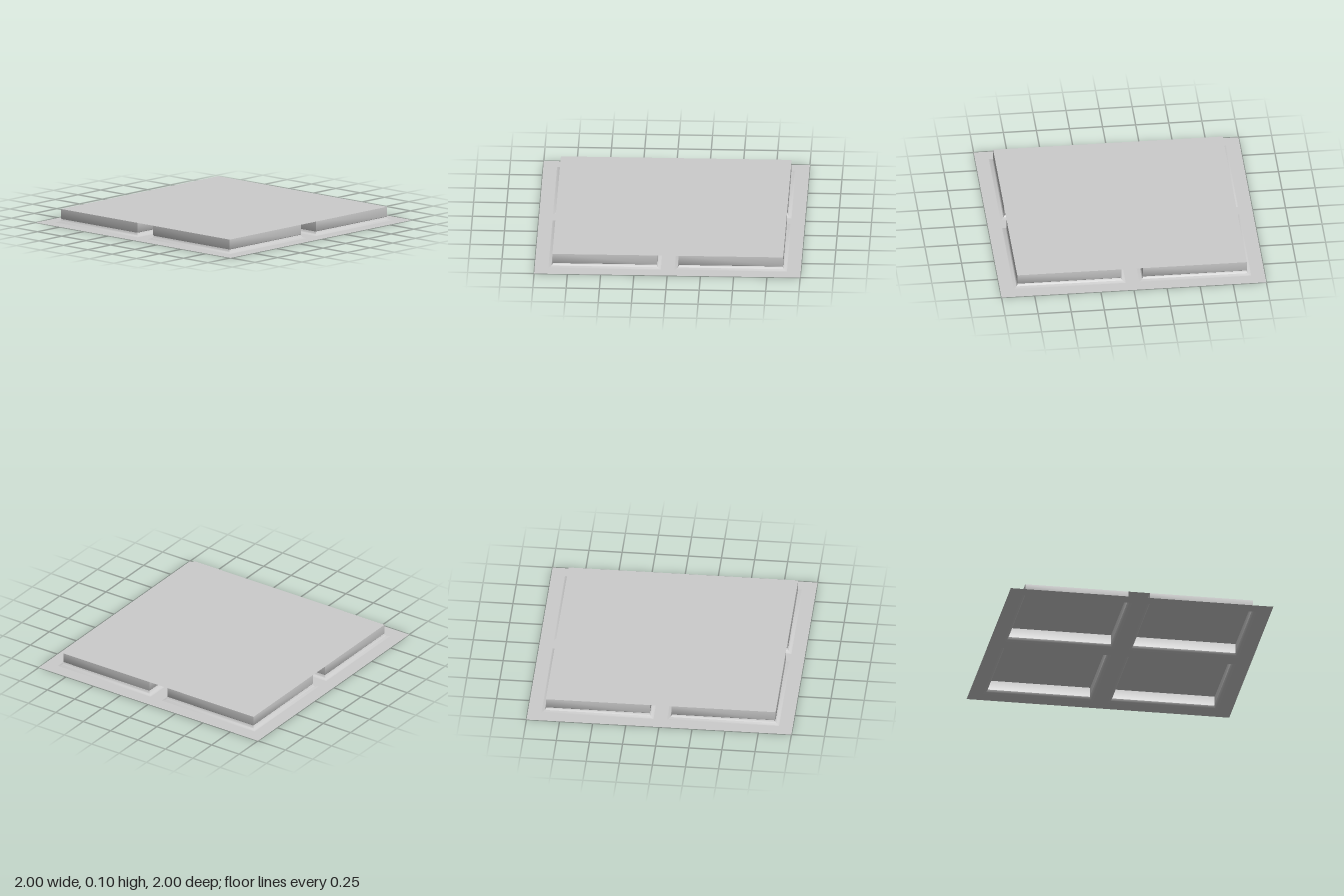
import * as THREE from 'three';
import { toCreasedNormals } from 'three/addons/utils/BufferGeometryUtils.js';

const OFFSET = 0.474;   // pocket centre from the middle
const HALF = 0.393;     // half width of a pocket
const FOOT = 0.423;     // half width where the flare meets the sheet
const HEIGHT = 0.103;

const square = (Path, cx, cy, h) => new Path([
  [-h, -h], [h, -h], [h, h], [-h, h],
].map(([x, y]) => new THREE.Vector2(cx + x, cy + y)));

export function createModel() {
  const group = new THREE.Group();
  const material = new THREE.MeshStandardMaterial({ color: 0xcccccc, side: THREE.DoubleSide });
  const add = (name, geometry, x = 0, y = 0, z = 0) => {
    const mesh = new THREE.Mesh(geometry, material);
    mesh.name = name;
    mesh.position.set(x, y, z);
    group.add(mesh);
  };
  const centres = [-1, 1].flatMap(i => [-1, 1].map(j => [i * OFFSET, j * OFFSET]));

  // Thin base sheet, open under each pocket
  const sheet = square(THREE.Shape, 0, 0, 1);
  sheet.holes = centres.map(([x, z]) => square(THREE.Path, x, z, FOOT));
  add('baseSheet', new THREE.ShapeGeometry(sheet).rotateX(-Math.PI / 2));

  // Thin top panel spanning all four pockets
  add('topPanel', new THREE.PlaneGeometry(1.734, 1.734).rotateX(-Math.PI / 2), 0, HEIGHT, 0);

  // Square walls that flare out at the foot
  const profile = [
    [FOOT, 0], [0.41, 0.003], [0.4, 0.009], [0.393, 0.017], [0.389, 0.026],
    [HALF, 0.031], [HALF, HEIGHT],
  ].map(([h, y]) => new THREE.Vector2(h * Math.SQRT2, y));
  const wall = toCreasedNormals(new THREE.LatheGeometry(profile, 4, Math.PI / 4), Math.PI / 4);
  centres.forEach(([x, z]) => add('pocketWall', wall, x, 0, z));

  return group;
}
